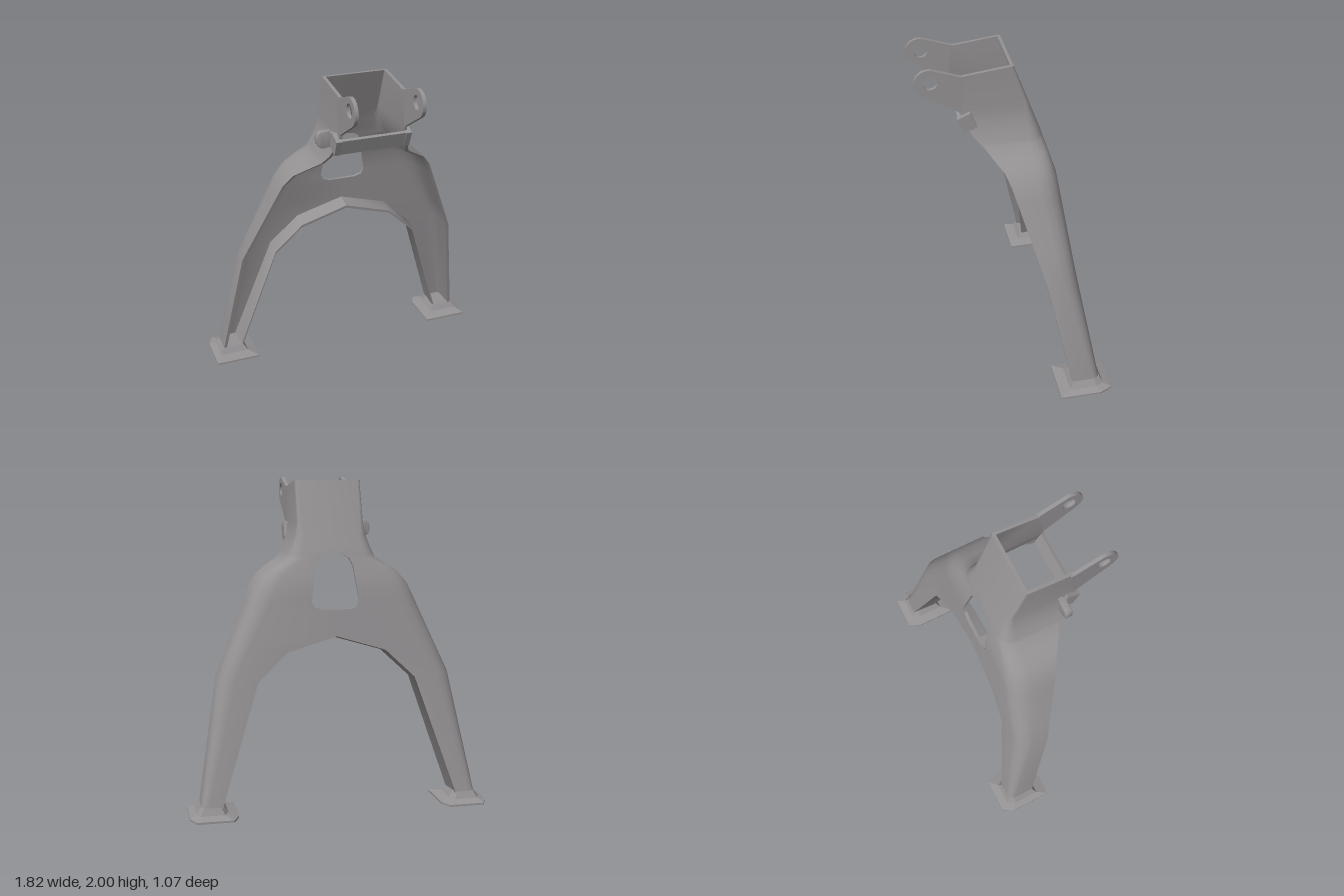
import * as THREE from 'three';
import { toCreasedNormals } from 'three/addons/utils/BufferGeometryUtils.js';

const material = new THREE.MeshStandardMaterial({ color: 0x959294, side: THREE.DoubleSide });

// Closed loops of [x, y, z] joined into a capped solid, always facing outward
function loft(rings, side, crease) {
  const n = rings[0].length, tris = [];
  const quad = (a, b, c, d) => tris.push([a, b, c], [a, c, d]);
  for (let k = 0; k + 1 < rings.length; k++) {
    for (let i = 0; i < n; i++) {
      const j = (i + 1) % n;
      quad(rings[k][i], rings[k][j], rings[k + 1][j], rings[k + 1][i]);
    }
  }
  const first = rings[0], last = rings[rings.length - 1];
  for (let i = 0; i < n / 2 - 1; i++) {
    quad(first[n - 1 - i], first[n - 2 - i], first[i + 1], first[i]);
    quad(last[i], last[i + 1], last[n - 2 - i], last[n - 1 - i]);
  }
  const corners = tris.map(t => t.map(p => new THREE.Vector3(p[0] * side, p[1], p[2])));
  let volume = 0;
  for (const [a, b, c] of corners) volume += a.dot(b.clone().cross(c));
  if (volume < 0) corners.forEach(t => t.reverse());
  const geo = new THREE.BufferGeometry().setFromPoints(corners.flat());
  return toCreasedNormals(geo, crease);
}

// Linear lookup in a table of [y, value], y falling
function at(table, y) {
  for (let i = 1; i < table.length; i++) {
    const [y0, v0] = table[i - 1], [y1, v1] = table[i];
    if (y >= y1 || i === table.length - 1) return v0 + (v1 - v0) * (y0 - y) / (y0 - y1);
  }
}

// Outline tables by height: outer half width, back depth, front edge, corner radius
const OUTER = [[1.975, 0.205], [1.72, 0.207], [1.64, 0.22], [1.565, 0.25], [1.505, 0.28],
  [1.42, 0.42], [1.34, 0.485], [0.8, 0.72], [0.05, 0.847]];
const BACK = [[1.975, -0.035], [1.54, -0.2], [1.34, -0.26], [0.8, -0.33], [0.05, -0.468]];
const FRONT = [[1.975, 0.26], [1.72, 0.285], [1.64, 0.25], [1.565, 0.21], [1.46, 0.11],
  [1.41, 0.06], [1.34, 0.03], [0.8, -0.13], [0.05, -0.295]];
const ROUND = [[1.975, 0.015], [1.72, 0.025], [1.505, 0.09], [1.34, 0.13], [0.8, 0.1], [0.05, 0.04]];

// Inner edge by height: centre line, window, centre line, then arch and leg
const ROWS = [[1.975, 0], [1.72, 0], [1.64, 0], [1.565, 0], [1.54, 0], [1.53, 0.055], [1.505, 0.095],
  [1.46, 0.118], [1.41, 0.124], [1.34, 0.133], [1.25, 0.146], [1.215, 0.13], [1.2, 0.085],
  [1.2, 0], [1.06, 0], [0.97, 0.3], [0.8, 0.48], [0.05, 0.735]];

function shellRing([y, xi], k) {
  const t = 0.02, xo = at(OUTER, y), b = at(BACK, y), f = at(FRONT, y), r = at(ROUND, y);
  const yf = k === 0 ? 1.94 : y; // top edge slopes down toward the lugs
  const s = Math.max(r, t + 0.005);
  return [[xi, y, b], [xo - r, y, b], [xo - 0.6 * r, y, b + 0.08 * r], [xo - 0.29 * r, y, b + 0.29 * r],
    [xo - 0.08 * r, y, b + 0.6 * r], [xo, y, b + r], [xo, yf, f],
    [xo - t, yf, f], [xo - t, y, b + s], [xo - 0.08 * r - t, y, b + 0.6 * s + t * 0.4],
    [xo - 0.29 * r - 0.7 * t, y, b + 0.29 * r + 0.7 * t], [xo - 0.6 * r - t * 0.4, y, b + 0.08 * r + t],
    [xo - s, y, b + t], [xi, y, b + t]];
}

// Inner lip: [back x, back y, front x, front y, depth]
const LIP = [[0, 1.065, 0, 1.022, 0.12], [0.3, 0.975, 0.305, 0.932, 0.13],
  [0.485, 0.8, 0.483, 0.765, 0.14], [0.737, 0.05, 0.713, 0.05, 0.165]];

// The lip is a thin sheet that leans away from the shell toward its front edge
function lipRing([ux, uy, lx, ly, d]) {
  const point = (f, depth) => {
    const y = uy + (ly - uy) * f;
    return [ux + (lx - ux) * f, y, at(BACK, y) + depth];
  };
  return [point(0, 0), point(0.6, d), point(1, d), point(0.6, 0)];
}

// Six-sided foot ring with clipped back corners
function footRing(y, x0, x1, z0, z1) {
  const cx = (x1 - x0) * 0.12, cz = (z1 - z0) * 0.22;
  return [[x0, y, z1], [x1, y, z1], [x1, y, z0 + cz], [x1 - cx, y, z0], [x0 + cx, y, z0], [x0, y, z0 + cz]];
}

// Pivot lug drawn in (z, y) and given thickness along x
function lugGeometry() {
  const s = new THREE.Shape();
  s.moveTo(0.24, 1.94);
  s.lineTo(0.27, 1.943);
  s.absarc(0.45, 1.917, 0.083, 1.87, -1.01, true);
  s.lineTo(0.285, 1.72);
  s.lineTo(0.265, 1.72);
  s.closePath();
  const hole = new THREE.Path();
  hole.absarc(0.443, 1.92, 0.042, 0, Math.PI * 2, false);
  s.holes.push(hole);
  const g = new THREE.ExtrudeGeometry(s, { depth: 0.022, bevelEnabled: false, curveSegments: 16 });
  g.rotateY(-Math.PI / 2); // shape x becomes z, depth runs toward -x
  return toCreasedNormals(g, 0.6);
}

export function createModel() {
  const model = new THREE.Group();
  const add = (name, geo, parent = model) => {
    const m = new THREE.Mesh(geo, material);
    m.name = name;
    parent.add(m);
    return m;
  };

  for (const side of [1, -1]) {
    const half = new THREE.Group();
    half.name = side > 0 ? 'leftHalf' : 'rightHalf';
    model.add(half);

    // Pressed shell: neck, shoulder and leg
    add('shell', loft(ROWS.map(shellRing), side, 0.7), half);
    add('archLip', loft(LIP.map(lipRing), side, 0.6), half);

    // Foot plate and ankle
    add('foot', loft([
      footRing(0, 0.625, 0.91, -0.535, -0.205),
      footRing(0.012, 0.625, 0.91, -0.535, -0.205),
      footRing(0.03, 0.685, 0.872, -0.485, -0.27),
      footRing(0.07, 0.712, 0.845, -0.466, -0.292),
    ], side, 0.15), half);

    // Pivot lug at the top
    add('pivotLug', lugGeometry(), half).position.x = side > 0 ? 0.212 : -0.19;

    // Square boss at the end of the crossbar
    const boss = add('crossbarBoss', new THREE.BoxGeometry(0.035, 0.103, 0.085), half);
    boss.position.set(side * 0.217, 1.652, 0.24);
    boss.rotation.x = 0.4;
  }

  // Crossbar closing the front of the neck
  const bar = add('crossbar', new THREE.BoxGeometry(0.43, 0.1, 0.02));
  bar.position.set(0, 1.64, 0.266);
  bar.rotation.x = 0.36;

  // Round-ended stop on the right side
  const k = new THREE.Shape();
  k.moveTo(-0.24, 1.625);
  k.lineTo(-0.24, 1.725);
  k.lineTo(-0.285, 1.725);
  k.quadraticCurveTo(-0.322, 1.72, -0.322, 1.675);
  k.quadraticCurveTo(-0.322, 1.63, -0.285, 1.62);
  k.closePath();
  const knob = new THREE.ExtrudeGeometry(k, {
    depth: 0.034, bevelSize: 0.005, bevelThickness: 0.005, bevelSegments: 2, bevelOffset: -0.005,
  });
  add('stop', toCreasedNormals(knob, 0.6)).position.z = 0.168;
  const stem = add('stopStem', new THREE.BoxGeometry(0.06, 0.06, 0.03));
  stem.position.set(-0.22, 1.675, 0.185);

  return model;
}
